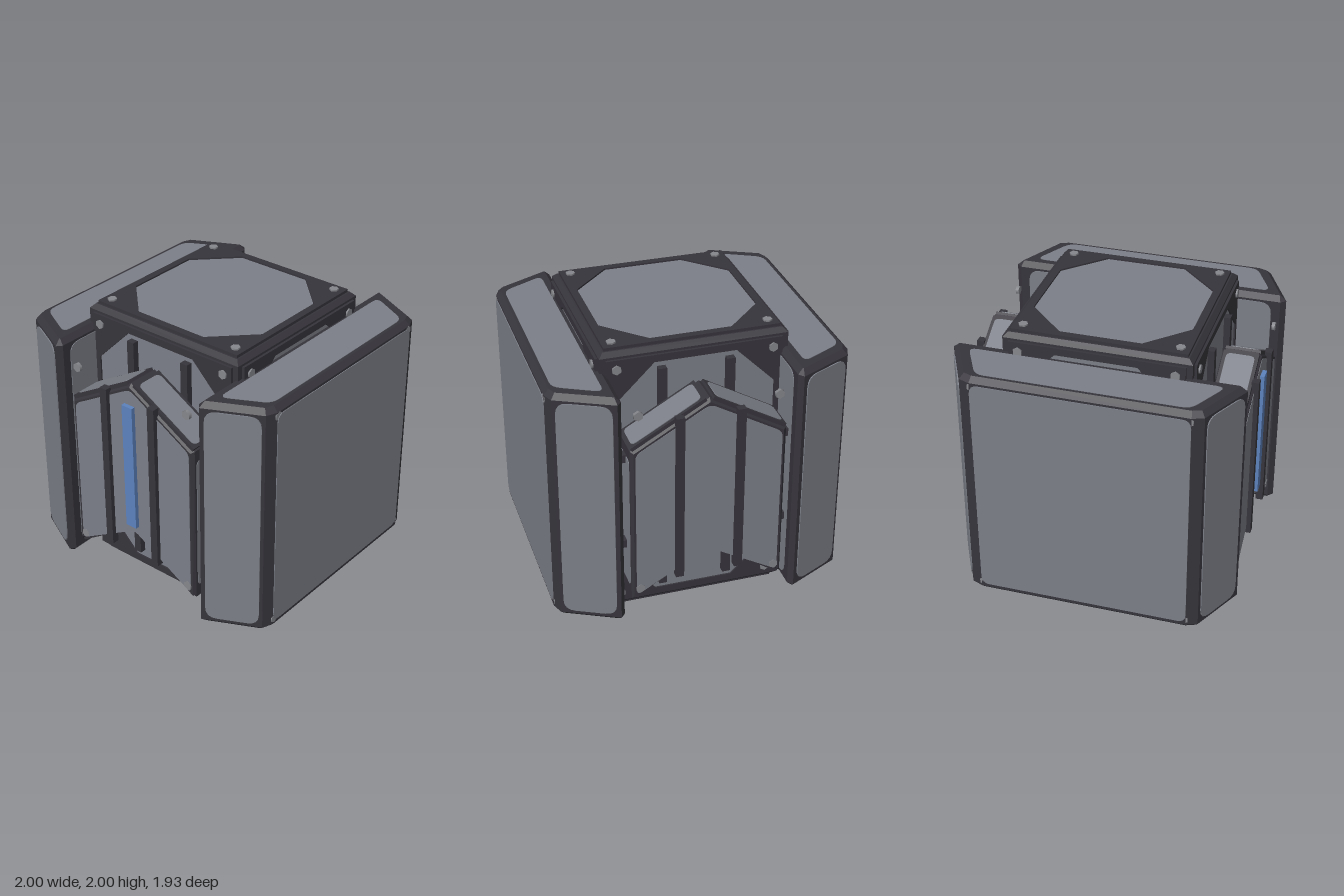
import * as THREE from 'three';

const paint = (name, color) => Object.assign(new THREE.MeshStandardMaterial({ color }), { name });

export function createModel() {
  const model = new THREE.Group();
  model.name = 'armouredCube';
  const dark = paint('dark frame', 0x37353c);
  const grey = paint('grey panel', 0x7c7f88);
  const steel = paint('steel bolt', 0x85878c);
  const blue = paint('blue light', 0x5d82be);

  const group = (parent, name) => {
    const g = new THREE.Group();
    g.name = name;
    parent.add(g);
    return g;
  };
  const add = (parent, name, geo, mat, x = 0, y = 0, z = 0) => {
    const m = new THREE.Mesh(geo, mat);
    m.name = name;
    m.position.set(x, y, z);
    parent.add(m);
    return m;
  };

  // Polygon outline with softly rounded corners
  const outline = (pts, r = 0, Type = THREE.Shape) => {
    const s = new Type();
    const v = pts.map(p => new THREE.Vector2(...p));
    v.forEach((p, i) => {
      const prev = v[(i + v.length - 1) % v.length], next = v[(i + 1) % v.length];
      const a = p.clone().add(prev.clone().sub(p).setLength(r));
      const b = p.clone().add(next.clone().sub(p).setLength(r));
      if (i === 0) s.moveTo(a.x, a.y); else s.lineTo(a.x, a.y);
      if (r) s.quadraticCurveTo(p.x, p.y, b.x, b.y);
    });
    s.closePath();
    return s;
  };
  const rect = (w, h) => [[-w, -h], [w, -h], [w, h], [-w, h]];
  const octagon = (w, h, c) => [[c - w, -h], [w - c, -h], [w, c - h], [w, h - c],
    [w - c, h], [c - w, h], [-w, h - c], [-w, c - h]];
  const plate = (shape, t) => new THREE.ExtrudeGeometry(shape, { depth: t, bevelEnabled: false, curveSegments: 4 });
  // Solid of full thickness t along z, chamfered by b inside its outline
  const chamfered = (pts, t, b) => new THREE.ExtrudeGeometry(outline(pts), {
    depth: t - 2 * b, bevelSize: b, bevelThickness: b, bevelOffset: -b, bevelSegments: 1,
  }).translate(0, 0, b);
  const bolt = (parent, x, y, z) => {
    const geo = new THREE.CylinderGeometry(0.032, 0.032, 0.022, 6).rotateX(Math.PI / 2);
    add(parent, 'bolt', geo, steel, x, y, z);
  };

  // Core block
  const core = group(model, 'core');
  add(core, 'coreBlock', chamfered(rect(0.62, 0.62), 1.94, 0.03).rotateX(-Math.PI / 2), dark, 0, 0.03, 0);

  // Framed octagonal panel and corner bolts for each face of the core
  const coreFace = (name, w, h, dist, rx, ry) => {
    const g = group(core, name);
    g.position.y = 1;
    g.rotation.set(rx, ry, 0);
    const frame = outline(rect(w, h));
    frame.holes.push(outline(octagon(0.53, h - 0.05, 0.26), 0, THREE.Path));
    add(g, 'faceFrame', plate(frame, 0.022), dark, 0, 0, dist - 0.022);
    add(g, 'facePanel', plate(outline(octagon(0.53, h - 0.05, 0.26)), 0.009), grey, 0, 0, dist - 0.02);
    for (const x of [-0.515, 0.515]) for (const y of [-1, 1]) bolt(g, x, y * (h - 0.065), dist);
    return g;
  };
  coreFace('topFace', 0.58, 0.58, 0.99, -Math.PI / 2, 0);
  coreFace('bottomFace', 0.58, 0.58, 0.99, Math.PI / 2, 0);
  for (let i = 0; i < 4; i++) {
    const g = coreFace('sideFace', 0.58, 0.925, 0.637, 0, i * Math.PI / 2);
    if (i % 2 === 0) for (const x of [-0.225, 0.225])
      add(g, 'coreBar', new THREE.BoxGeometry(0.055, 1.66, 0.05), dark, x, 0.01, 0.645);
  }

  // Side walls with bevelled front and back edges
  for (const side of [1, -1]) {
    const wall = group(model, side > 0 ? 'leftWall' : 'rightWall');
    wall.rotation.y = side > 0 ? 0 : Math.PI;
    const half = [[0.57, 0.93], [0.60, 0.965], [0.965, 0.785], [0.995, 0.71]];
    const section = [...half, ...half.map(([x, z]) => [x, -z]).reverse()].reverse();
    add(wall, 'wallBody', chamfered(section, 1.68, 0.035).rotateX(-Math.PI / 2), dark, 0, 0.16, 0);
    const outer = add(wall, 'outerPanel', plate(outline(rect(0.71, 0.785), 0.06), 0.009), grey, 0.991, 1.005, 0);
    outer.rotation.y = Math.PI / 2;
    const inner = add(wall, 'innerPanel', plate(outline(rect(0.87, 0.785), 0.08), 0.009), grey, 0.574, 1.005, 0);
    inner.rotation.y = -Math.PI / 2;
    for (const s of [1, -1]) {
      const bevel = add(wall, 'bevelPanel', plate(outline(rect(0.178, 0.785), 0.08), 0.009), grey,
        0.785, 1.005, s * 0.872);
      bevel.rotation.y = s > 0 ? 0.458 : Math.PI - 0.458;
      const cap = add(wall, 'endPanel', plate(outline([[0.65, -0.84], [0.94, -0.69], [0.94, 0.69], [0.65, 0.84]], 0.06), 0.009),
        grey, 0, 1 + s * 0.834, 0);
      cap.rotation.x = -s * Math.PI / 2;
      for (const z of [-0.695, 0.695]) {
        const b = group(wall, 'cornerBolt');
        b.position.set(0.984, 1.005 + s * 0.77, z);
        b.rotation.y = Math.PI / 2;
        bolt(b, 0, 0, 0);
      }
    }
  }

  // Chevron pods on the front and back
  for (const front of [true, false]) {
    const pod = group(model, front ? 'frontPod' : 'backPod');
    pod.rotation.y = front ? 0 : Math.PI;
    const body = [[0, 0.64], [0.515, 0.30], [0.515, 1.43], [0, 1.73], [-0.515, 1.43], [-0.515, 0.30]];
    const face = [[0, 0.61], [0.485, 0.33], [0.485, 1.41], [0, 1.69], [-0.485, 1.41], [-0.485, 0.33]];
    add(pod, 'podBody', chamfered(body, 0.26, 0.02), dark, 0, 0, 0.67);
    add(pod, 'podFace', plate(outline(face, 0.04), 0.009), grey, 0, 0, 0.924);
    add(pod, 'podMount', new THREE.BoxGeometry(0.8, 0.7, 0.08), dark, 0, 1.05, 0.65);

    // Rimmed panels along the sloping top and bottom edges
    const edge = (x, y, angle, width) => {
      const g = group(pod, 'edgePlate');
      g.position.set(x, y, 0.8);
      g.rotation.z = angle;
      add(g, 'edgeRim', new THREE.BoxGeometry(width + 0.04, 0.025, 0.235), dark);
      const p = add(g, 'edgePanel', plate(outline(rect(width / 2, 0.095), 0.035), 0.009), grey, 0, 0.008, 0);
      p.rotation.x = -Math.PI / 2;
    };
    for (const s of [1, -1]) {
      edge(s * 0.265, 1.582, -s * 0.523, 0.52);
      edge(s * 0.265, 0.463, Math.PI - s * 0.584, 0.52);
      const sidePanel = add(pod, 'podSidePanel', plate(outline(rect(0.095, 0.48), 0.035), 0.009), grey,
        s * 0.51, 0.87, 0.8);
      sidePanel.rotation.y = s * Math.PI / 2;
      for (const y of [0.68, 1.33])
        add(pod, 'sideClip', new THREE.BoxGeometry(0.07, 0.055, 0.06), dark, s * 0.54, y, 0.8);
      add(pod, 'podBar', new THREE.BoxGeometry(0.055, 1.2, 0.05), dark, s * 0.2, 1.04, 0.938);
      bolt(pod, s * 0.46, 1.68, 0.915);
      bolt(pod, s * 0.46, 0.38, 0.925);
    }
    // Glowing strip
    if (front) add(pod, 'lightStrip', new THREE.BoxGeometry(0.085, 0.92, 0.04), blue, 0, 1.12, 0.942);
  }
  return model;
}
